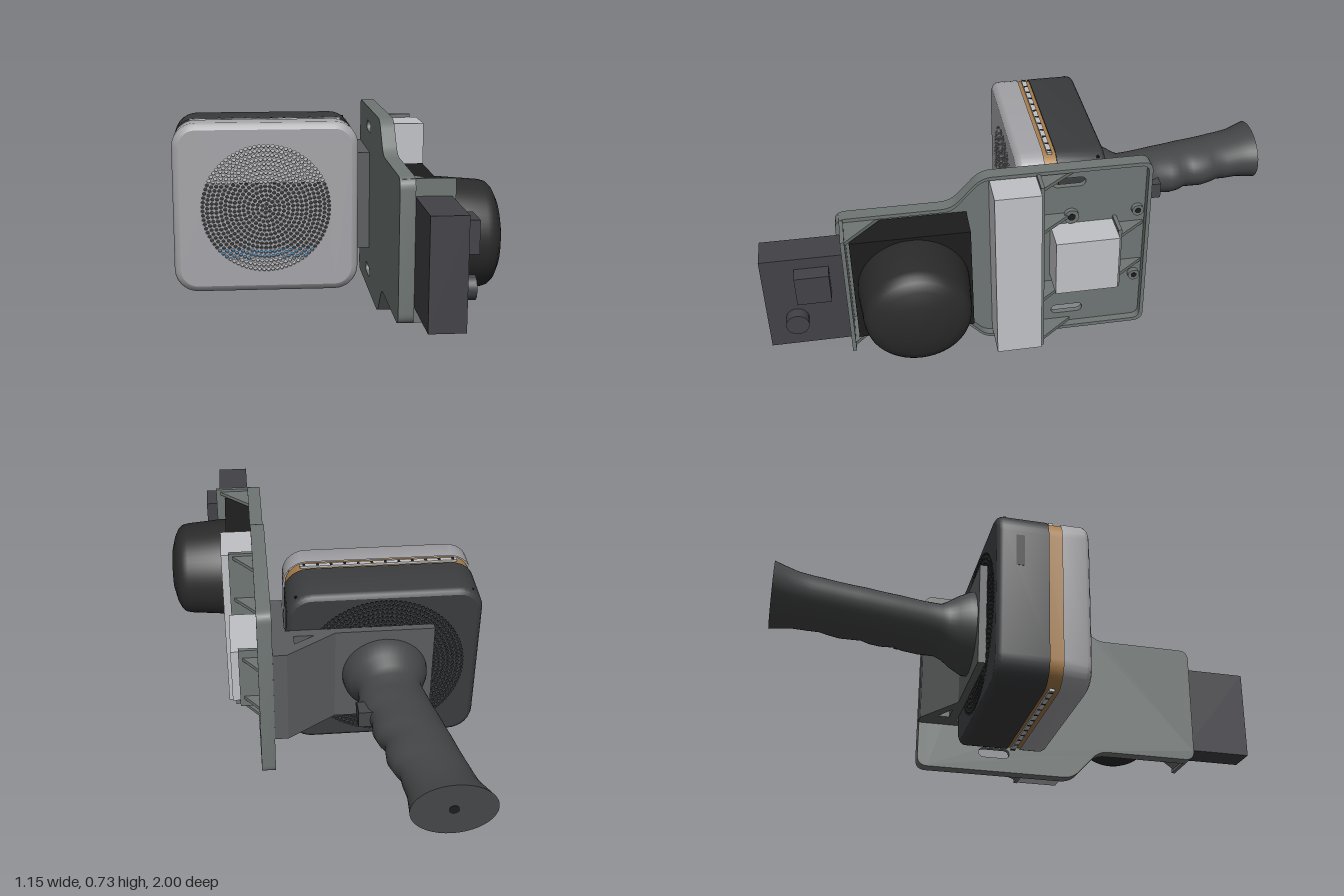
import * as THREE from 'three';
import { toCreasedNormals } from 'three/addons/utils/BufferGeometryUtils.js';

const C = {
  silver: 0xa4a4a8, dark: 0x3a3b3d, plate: 0x6f7674, light: 0xc0c1c5, bracket: 0x5a5c5d,
  camera: 0x424146, lidar: 0x2a2a2b, handle: 0x454647, gold: 0xa87d4a, black: 0x1c1c1d, blue: 0x4a8ec2,
};
const V2 = (x, y) => new THREE.Vector2(x, y);
const CX = -0.222, CY = 0.378;   // centre of the speaker housing

export function createModel() {
  const model = new THREE.Group();

  const add = (name, geometry, color, parent = model) => {
    const mesh = new THREE.Mesh(geometry, new THREE.MeshStandardMaterial({ color }));
    mesh.name = name;
    parent.add(mesh);
    return mesh;
  };
  const group = (name) => {
    const g = new THREE.Group();
    g.name = name;
    model.add(g);
    return g;
  };
  // box given by its limits on each axis
  const box = (name, x0, x1, y0, y1, z0, z1, color, parent) => add(name,
    new THREE.BoxGeometry(x1 - x0, y1 - y0, z1 - z0)
      .translate((x0 + x1) / 2, (y0 + y1) / 2, (z0 + z1) / 2), color, parent);
  const extrude = (shape, depth) =>
    new THREE.ExtrudeGeometry(shape, { depth, bevelEnabled: false, curveSegments: 6 });
  // outline drawn in (-z, y), extruded along x
  const alongX = (shape, x0, x1) => extrude(shape, x1 - x0).rotateY(Math.PI / 2).translate(x0, 0, 0);
  // outline drawn in (x, -z), extruded along y
  const alongY = (shape, y0, y1) => extrude(shape, y1 - y0).rotateX(-Math.PI / 2).translate(0, y0, 0);
  const poly = (pts) => new THREE.Shape(pts.map(([x, y]) => V2(x, y)));

  // polygon with rounded corners
  const roundPoly = (pts, r) => {
    const s = new THREE.Shape();
    pts.forEach(([x, y], i) => {
      const p = V2(x, y), n = pts.length;
      const toward = (q) => V2(...q).sub(p).setLength(r).add(p);
      const a = toward(pts[(i + n - 1) % n]), b = toward(pts[(i + 1) % n]);
      i ? s.lineTo(a.x, a.y) : s.moveTo(a.x, a.y);
      s.quadraticCurveTo(x, y, b.x, b.y);
    });
    s.closePath();
    return s;
  };

  // skin over closed loops listed in order of increasing z
  const loft = (rings, capStart, capEnd, crease = 0.6) => {
    const n = rings[0].length, pos = [], idx = [];
    rings.forEach((r) => r.forEach((p) => pos.push(p.x, p.y, p.z)));
    for (let k = 0; k < rings.length - 1; k++) for (let i = 0; i < n; i++) {
      const a = k * n + i, b = k * n + (i + 1) % n;
      idx.push(a, b, b + n, a, b + n, a + n);
    }
    const cap = (k, flip) => {
      const c = rings[k].reduce((s, p) => s.add(p), new THREE.Vector3()).divideScalar(n);
      const m = pos.push(c.x, c.y, c.z) / 3 - 1;
      for (let i = 0; i < n; i++) {
        const a = k * n + i, b = k * n + (i + 1) % n;
        flip ? idx.push(m, b, a) : idx.push(m, a, b);
      }
    };
    if (capStart) cap(0, true);
    if (capEnd) cap(rings.length - 1, false);
    const g = new THREE.BufferGeometry();
    g.setAttribute('position', new THREE.Float32BufferAttribute(pos, 3));
    g.setIndex(idx);
    return toCreasedNormals(g, crease);
  };

  // rounded rectangle of the speaker housing, counter-clockwise
  const outline = (inset) => {
    const pts = [], R = 0.09, w = 0.353 - R, h = 0.328 - R;
    [[1, 1], [-1, 1], [-1, -1], [1, -1]].forEach(([sx, sy], q) => {
      for (let i = 0; i <= 7; i++) {
        const a = (q + i / 7) * Math.PI / 2;
        pts.push(V2(CX + sx * w + Math.cos(a) * (R - inset), CY + sy * h + Math.sin(a) * (R - inset)));
      }
    });
    return pts;
  };
  const shell = (sections, c0, c1) => loft(sections.map(([z, inset]) =>
    outline(inset).map((p) => new THREE.Vector3(p.x, p.y, z))), c0, c1);
  // panel perforated with concentric rings of holes
  const grille = (inset, z, firstRing, lastRing) => {
    const s = new THREE.Shape(outline(inset));
    for (let k = firstRing; k <= lastRing; k++) {
      const r = k * 0.0172, n = Math.max(1, Math.round(2 * Math.PI * k));
      for (let i = 0; i < n; i++) {
        const a = i / n * Math.PI * 2 + k * 0.4;
        const hole = new THREE.Path();
        hole.setFromPoints([0, 1, 2, 3, 4, 5, 6].map((j) => V2(
          CX + r * Math.cos(a) + 0.0068 * Math.cos(j * Math.PI * 2 / 7),
          CY + r * Math.sin(a) + 0.0068 * Math.sin(j * Math.PI * 2 / 7))));
        s.holes.push(hole);
      }
    }
    return extrude(s, 0.015).translate(0, 0, z);
  };

  // speaker housing: silver front, gold band, dark back
  const speaker = group('speaker');
  add('frontShell', shell([[-0.035, 0], [0.048, 0], [0.062, 0.009], [0.07, 0.025]]), C.silver, speaker);
  add('frontGrille', grille(0.025, 0.055, 0, 14), C.silver, speaker);
  add('backShell', shell([[-0.265, 0.02], [-0.258, 0.007], [-0.245, 0], [-0.082, 0]], false, true), C.dark, speaker);
  add('backGrille', grille(0.02, -0.265, 6, 17), C.dark, speaker);
  add('middleBand', shell([[-0.09, 0.006], [-0.03, 0.006]], true, true), C.gold, speaker);
  for (const y of [0.049, 0.699]) {
    box('bandStrip', -0.51, 0.07, y, y + 0.009, -0.068, -0.05, C.light, speaker);
    for (let i = 0; i < 12; i++) {
      box('bandStud', -0.5 + i * 0.05, -0.49 + i * 0.05, y - 0.001, y + 0.01, -0.066, -0.052, C.black, speaker);
    }
  }
  box('sideSlot', -0.576, -0.56, 0.48, 0.6, -0.2, -0.17, C.black, speaker);
  // parts seen through the grilles
  box('innerBoard', -0.49, 0.05, 0.1, 0.66, 0.0, 0.03, C.light, speaker);
  box('driver', -0.49, 0.05, 0.215, 0.47, 0.03, 0.04, C.dark, speaker);
  box('innerStrip', -0.49, 0.05, 0.175, 0.213, 0.03, 0.04, C.blue, speaker);
  box('backBoard', -0.54, 0.1, 0.07, 0.69, -0.24, -0.23, C.black, speaker);

  // bracket joining the housing to the side plate, with a sloped brace
  const brace = poly([[-0.4, 0.265], [0.14, 0.265], [0.14, 0.07], [0.19, 0.07], [0.19, 0.408],
    [0.14, 0.408], [-0.04, 0.292], [-0.4, 0.292]]);
  brace.holes.push(new THREE.Path([V2(0.035, 0.3), V2(0.11, 0.3), V2(0.11, 0.345)]));
  add('bracket', alongY(brace, 0.18, 0.565), C.bracket);

  // side plate: a shallow tray with slots and a raised rim
  const tray = group('sidePlate');
  const edge = (d) => [[-0.735 + d, 0.125 + d], [-0.325, 0.125 + d], [-0.215, 0.004 + d], [0.405 - d, 0.004 + d],
    [0.405 - d, 0.736 - d], [-0.215, 0.736 - d], [-0.325, 0.62 - d], [-0.735 + d, 0.62 - d]];
  const floor = roundPoly(edge(0.005), 0.035);
  for (const y of [0.08, 0.663]) {
    const slot = new THREE.Path();
    slot.absarc(0.063, y, 0.019, Math.PI / 2, Math.PI * 1.5);
    slot.absarc(0.147, y, 0.019, -Math.PI / 2, Math.PI / 2);
    slot.closePath();
    floor.holes.push(slot);
  }
  add('floor', alongX(floor, 0.19, 0.212), C.plate, tray);
  const rim = roundPoly(edge(0), 0.04);
  rim.holes.push(roundPoly(edge(0.014), 0.03));
  add('rim', toCreasedNormals(alongX(rim, 0.19, 0.242), 0.6), C.plate, tray);

  // upright walls with triangular gussets
  const wall = (name, z, t, y0, y1, x1, reach, ys) => {
    box(name, 0.2, x1, y0, y1, z - t / 2, z + t / 2, C.plate, tray);
    for (const y of ys) {
      add(name + 'Gusset', alongY(poly(reach > 0
        ? [[0.2, -z], [x1 - 0.01, -z], [0.215, -z + reach], [0.2, -z + reach]]
        : [[0.2, -z], [0.2, -z + reach], [0.215, -z + reach], [x1 - 0.01, -z]]), y - 0.007, y + 0.007), C.plate, tray);
    }
  };
  wall('cameraWall', 0.713, 0.014, 0.13, 0.615, 0.375, 0, []);
  for (const y of [0.148, 0.597]) {
    add('cameraWallGusset', alongY(poly([[0.2, -0.713], [0.365, -0.713], [0.215, -0.57], [0.2, -0.57]]),
      y - 0.007, y + 0.007), C.plate, tray);
  }
  wall('tallBoxWall', 0.013, 0.014, 0.012, 0.728, 0.33, 0.13, [0.028, 0.218, 0.525, 0.71]);
  wall('smallBoxWall', -0.277, 0.014, 0.243, 0.5, 0.31, 0.11, [0.283, 0.46]);

  // screw bosses
  for (const [y, z, r] of [[0.222, -0.113, 0.028], [0.522, -0.113, 0.028], [0.222, -0.362, 0.022], [0.522, -0.362, 0.022]]) {
    for (const [name, k, x, c] of [['boss', 1, 0.22, C.plate], ['bossHole', 0.5, 0.2215, C.black]]) {
      add(name, new THREE.CylinderGeometry(r * k, r * k, 0.02, 20).rotateZ(-Math.PI / 2).translate(x, y, z), c, tray);
    }
  }

  // electronics boxes
  box('tallBox', 0.212, 0.357, 0.025, 0.715, 0.02, 0.187, C.light);
  box('smallBox', 0.212, 0.338, 0.26, 0.485, -0.27, -0.036, C.light);

  // rotating scanner on its square base
  box('scannerBase', 0.205, 0.34, 0.163, 0.582, 0.27, 0.692, C.black);
  const dome = [[0, 0.33], [0.199, 0.33], [0.199, 0.36], [0.187, 0.5], [0.181, 0.522], [0.166, 0.538],
    [0.135, 0.553], [0.08, 0.567], [0, 0.572]].map(([r, h]) => V2(r, h));
  add('scannerDome', toCreasedNormals(new THREE.LatheGeometry(dome, 56).rotateZ(-Math.PI / 2)
    .translate(0, 0.373, 0.48), 0.6), C.lidar);

  // camera block with its two knobs
  const camera = group('camera');
  box('cameraBody', 0.242, 0.362, 0.188, 0.557, 0.72, 1, C.camera, camera);
  box('cameraWindow', 0.36, 0.42, 0.405, 0.515, 0.768, 0.886, C.camera, camera);
  add('cameraLens', new THREE.CylinderGeometry(0.04, 0.04, 0.045, 28).rotateZ(-Math.PI / 2)
    .translate(0.382, 0.303, 0.897), C.camera, camera);

  // handle: oval sections [z, xMin, xMax, half height], with finger grooves on one side
  const grip = group('handle');
  const sections = [[-1, -0.497, -0.208, 0.107], [-0.97, -0.482, -0.21, 0.1], [-0.92, -0.457, -0.212, 0.091],
    [-0.87, -0.444, -0.204, 0.088], [-0.83, -0.435, -0.203, 0.087], [-0.8, -0.428, -0.186, 0.087],
    [-0.755, -0.418, -0.169, 0.088], [-0.71, -0.409, -0.17, 0.087], [-0.68, -0.403, -0.172, 0.087],
    [-0.65, -0.396, -0.151, 0.088], [-0.61, -0.388, -0.139, 0.088], [-0.56, -0.377, -0.145, 0.087],
    [-0.53, -0.37, -0.125, 0.088], [-0.47, -0.358, -0.108, 0.088], [-0.41, -0.345, -0.113, 0.09],
    [-0.385, -0.345, -0.113, 0.105], [-0.35, -0.361, -0.09, 0.13], [-0.31, -0.377, -0.07, 0.152], [-0.285, -0.38, -0.066, 0.155]];
  add('grip', loft(sections.map(([z, x0, x1, h]) => Array.from({ length: 40 }, (_, i) => {
    const a = i / 40 * Math.PI * 2;
    return new THREE.Vector3((x0 + x1) / 2 + Math.cos(a) * (x1 - x0) / 2, 0.372 + Math.sin(a) * h, z);
  })), true, false, 0.9), C.handle, grip);
  add('endHole', new THREE.CylinderGeometry(0.018, 0.018, 0.01, 20).rotateX(Math.PI / 2)
    .translate(-0.352, 0.372, -0.996), C.black, grip);
  add('trigger', alongX(poly([[0.455, 0.374], [0.49, 0.342], [0.55, 0.342], [0.55, 0.406], [0.49, 0.406]]),
    -0.17, -0.098), C.handle, grip);

  return model;
}
